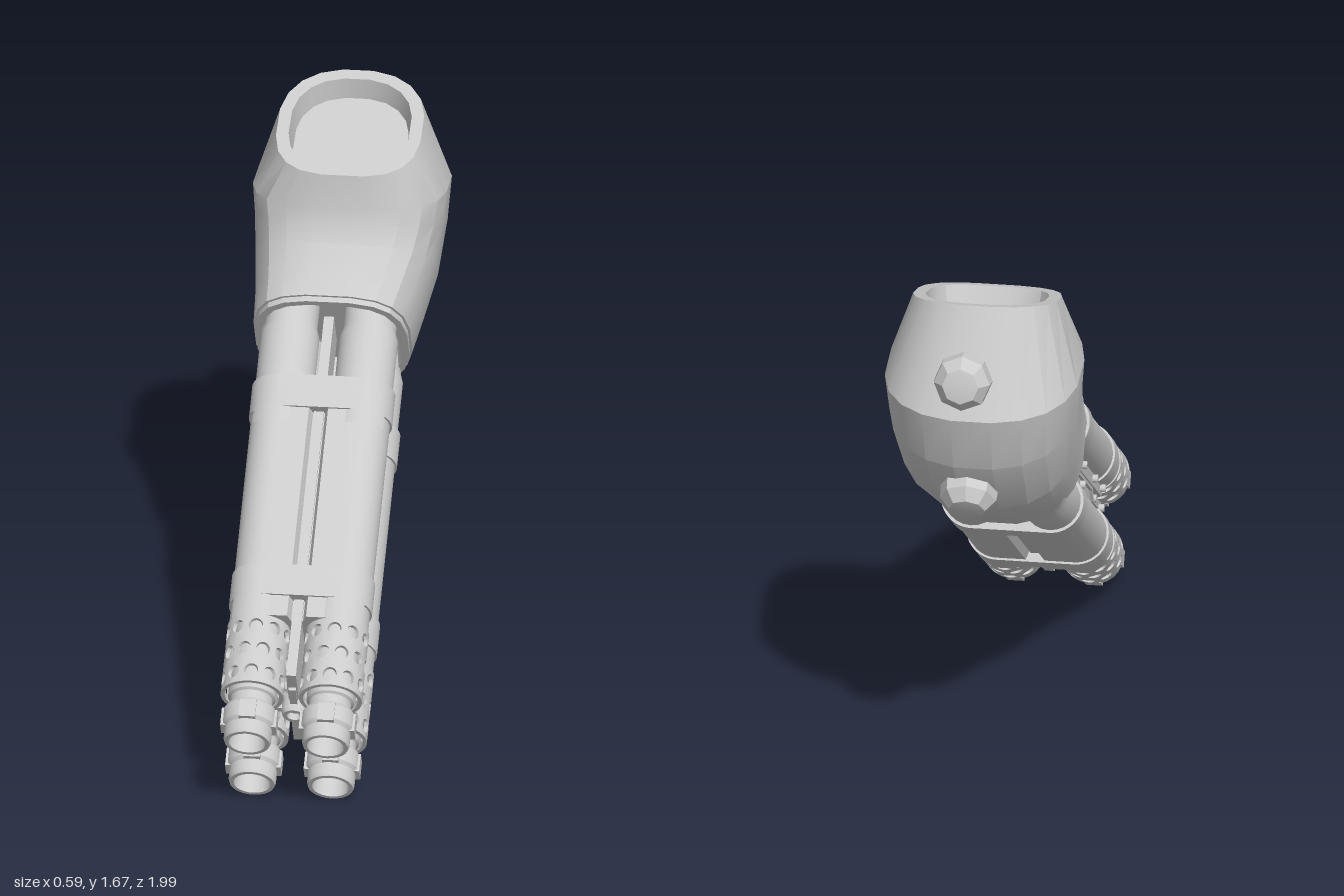
import * as THREE from 'three';
import { mergeGeometries, toCreasedNormals } from 'three/addons/utils/BufferGeometryUtils.js';

const material = new THREE.MeshStandardMaterial({ color: 0xcccccc });
const SPREAD = 0.1185; // half distance between neighbouring barrels

function add(parent, name, geometry, x = 0, y = 0, z = 0) {
  const mesh = new THREE.Mesh(geometry, material);
  mesh.name = name;
  mesh.position.set(x, y, z);
  parent.add(mesh);
  return mesh;
}

// Solid of revolution along -z; profile is [radius, distance back]
function turned(profile, segments = 24) {
  const points = profile.map(([r, s]) => new THREE.Vector2(r, -s)).reverse();
  const g = new THREE.LatheGeometry(points, segments).rotateX(Math.PI / 2);
  return toCreasedNormals(g.toNonIndexed(), 0.5);
}

// Prism along -z between two distances
function prism(shape, from, to) {
  const g = new THREE.ExtrudeGeometry(shape, { depth: to - from, bevelEnabled: false, curveSegments: 12 });
  return toCreasedNormals(g.translate(0, 0, -to), 0.5);
}

// Section that wraps two barrels, with optional grooves along the middle
function pairSection(r, groove = 0) {
  const s = new THREE.Shape();
  s.absarc(SPREAD, 0, r, -Math.PI / 2, Math.PI / 2, false);
  if (groove) {
    s.lineTo(groove * 1.6, r);
    s.lineTo(groove, r - 0.03);
    s.lineTo(-groove, r - 0.03);
    s.lineTo(-groove * 1.6, r);
  }
  s.absarc(-SPREAD, 0, r, Math.PI / 2, Math.PI * 1.5, false);
  if (groove) {
    s.lineTo(-groove * 1.6, -r);
    s.lineTo(-groove, 0.03 - r);
    s.lineTo(groove, 0.03 - r);
    s.lineTo(groove * 1.6, -r);
  }
  return s;
}

// Perforated sleeve: flat cells with a round hole, bent around the barrel
function ventSleeve() {
  const R = 0.095, around = 10, rows = 3, start = 0.162, h = 0.0785;
  const w = (2 * Math.PI * R) / around;
  const cell = new THREE.Shape();
  cell.moveTo(-w / 2, 0);
  [[-w / 4, 0], [0, 0], [w / 4, 0], [w / 2, 0], [w / 2, h / 2], [w / 2, h],
    [w / 4, h], [0, h], [-w / 4, h], [-w / 2, h], [-w / 2, h / 2]].forEach(([x, y]) => cell.lineTo(x, y));
  const hole = new THREE.Path();
  hole.absarc(0, h / 2, 0.021, 0, Math.PI * 2, true);
  cell.holes.push(hole);
  const flat = new THREE.ExtrudeGeometry(cell, { depth: 0.012, bevelEnabled: false, curveSegments: 12 });
  const cells = [];
  for (let row = 0; row < rows; row++) {
    for (let i = 0; i < around; i++) {
      const g = flat.clone(), p = g.attributes.position;
      for (let k = 0; k < p.count; k++) {
        const a = (p.getX(k) / w + i + row / 2) * (2 * Math.PI / around);
        const r = R - 0.012 + p.getZ(k);
        p.setXYZ(k, r * Math.sin(a), r * Math.cos(a), -(start + row * h + p.getY(k)));
      }
      cells.push(g);
    }
  }
  return toCreasedNormals(mergeGeometries(cells), 0.6);
}

const muzzleGeometry = turned([
  [0.05, 0.12], [0.056, 0], [0.068, 0], [0.072, 0.012], [0.072, 0.045], [0.081, 0.055],
  [0.081, 0.105], [0.073, 0.118], [0.064, 0.122], [0.064, 0.15], [0.072, 0.155], [0.072, 0.42]]);
const boreGeometry = new THREE.CircleGeometry(0.053, 24);
const sleeveGeometry = ventSleeve();

function barrel(parent, x) {
  const g = new THREE.Group();
  g.name = 'barrel';
  g.position.x = x;
  parent.add(g);
  add(g, 'muzzle', muzzleGeometry);
  add(g, 'boreEnd', boreGeometry, 0, 0, -0.11);
  add(g, 'ventSleeve', sleeveGeometry);
  add(g, 'rearTube', turned([[0, 1.1], [0.089, 1.1], [0.089, 1.41], [0.08, 1.44], [0.08, 1.52]]));
  for (let i = 0; i < 4; i++) {
    const a = (i * Math.PI) / 2;
    const lug = add(g, 'muzzleLug', new THREE.BoxGeometry(0.05, 0.016, 0.06),
      0.076 * Math.sin(a), 0.076 * Math.cos(a), -0.075);
    lug.rotation.z = -a;
  }
  // Tabs that reach forward from the clamps on the outer side
  const side = Math.sign(x);
  for (const [from, to] of [[0.395, 0.5], [1.075, 1.15]]) {
    const tab = new THREE.CylinderGeometry(0.0975, 0.0975, to - from, 14, 1, true, -0.95, 1.9);
    tab.rotateX(Math.PI / 2).rotateZ(side * Math.PI / 2 + Math.PI / 2 + (side > 0 ? -Math.PI / 2 : Math.PI / 2));
    const m = add(g, 'clampTab', tab, 0, 0, -(from + to) / 2);
    m.material = material.clone();
    m.material.side = THREE.DoubleSide;
    m.rotation.z = side > 0 ? Math.PI / 2 : Math.PI / 2;
  }
}

function barrelPair() {
  const g = new THREE.Group();
  g.name = 'barrelPair';
  barrel(g, SPREAD);
  barrel(g, -SPREAD);
  add(g, 'casing', prism(pairSection(0.091, 0.018), 0.395, 1.15));
  add(g, 'frontClamp', prism(pairSection(0.0975), 0.465, 0.57));
  add(g, 'rearClamp', prism(pairSection(0.0975), 1.12, 1.23));
  add(g, 'centreStrip', new THREE.BoxGeometry(0.03, 0.14, 1.25), 0, 0, -0.825);
  return g;
}

// Lofted elbow shell. Section: inner [z, y], outer [z, y], half width, centre x, scale
function elbowShell() {
  const wrist = [[-0.17, 1.2], [-0.43, 0.79], 0.235, -0.025];
  const lip = [[-0.185, 1.21], [-0.447, 0.8], 0.235, -0.025];
  const deep = [[-0.235, 1.235], [-0.485, 0.835], 0.22, -0.02];
  const top = [[-0.34, 1.54], [-0.78, 1.68], 0.22, 0];
  const sunk = [[-0.355, 1.475], [-0.8, 1.615], 0.22, 0];
  const sections = [
    [...deep, 0.001], [...deep, 0.86], [...wrist, 0.9], [...wrist, 0.985], [...lip, 0.985], [...lip, 1.015],
    [[-0.235, 1.265], [-0.58, 0.87], 0.252, -0.015, 1],
    [[-0.3, 1.33], [-0.73, 0.98], 0.272, -0.005, 1],
    [[-0.325, 1.385], [-0.87, 1.18], 0.286, 0, 1],
    [[-0.335, 1.43], [-0.92, 1.36], 0.295, 0, 1],
    [...top, 1], [...top, 0.83], [...sunk, 0.78], [...sunk, 0.001]];
  const N = 20, pos = [], idx = [];
  const power = (v, e) => Math.sign(v) * Math.pow(Math.abs(v), e);
  sections.forEach(([inner, outer, hx, cx, k], row) => {
    for (let j = 0; j < N; j++) {
      const a = ((j + 0.5) / N) * Math.PI * 2;
      const e = Math.cos(a) > 0 ? 0.85 : 0.66; // rounder at the back, squarer at the front
      const u = (power(Math.cos(a), e) / power(Math.cos(Math.PI / N), e)) * k * 0.5;
      pos.push(cx - hx * k * power(Math.sin(a), e),
        (inner[1] + outer[1]) / 2 + (outer[1] - inner[1]) * u,
        (inner[0] + outer[0]) / 2 + (outer[0] - inner[0]) * u);
      if (row === 0) continue;
      const b = row * N + j, b1 = row * N + ((j + 1) % N);
      idx.push(b - N, b1 - N, b1, b - N, b1, b);
    }
  });
  const g = new THREE.BufferGeometry();
  g.setAttribute('position', new THREE.Float32BufferAttribute(pos, 3));
  g.setIndex(idx);
  return toCreasedNormals(g.toNonIndexed(), 0.38);
}

export function createModel() {
  const model = new THREE.Group();
  model.name = 'armCannon';
  add(model, 'elbowShell', elbowShell());

  // Faceted knobs on the back of the elbow
  const knobProfile = [[0, 0], [0.055, 0.008], [0.085, 0.045], [0.088, 0.09], [0.07, 0.12], [0.07, 0.22]];
  for (const [y, z, dy, dz] of [[1.508, -0.993, 0.17, -0.98], [1.022, -0.847, -0.6, -0.8]]) {
    const knob = add(model, 'elbowKnob', turned(knobProfile, 8), 0.022, y, z);
    knob.rotation.x = Math.atan2(-dy, dz);
  }

  // Sloping gun: local +z points at the muzzles
  const gun = new THREE.Group();
  gun.name = 'gun';
  gun.position.set(-0.025, 0.165, 0.893);
  gun.rotation.x = 0.595;
  model.add(gun);
  for (const turn of [0, Math.PI]) {
    const pair = barrelPair();
    pair.position.y = turn ? -0.12 : 0.12;
    pair.rotation.z = turn;
    gun.add(pair);
  }

  // Core and front hub between the four barrels
  add(gun, 'core', new THREE.BoxGeometry(0.25, 0.1, 0.84), 0, 0, -0.83);
  add(gun, 'hub', turned([[0, 0.19], [0.018, 0.19], [0.022, 0.17], [0.034, 0.17], [0.04, 0.185],
    [0.04, 0.23], [0.03, 0.24], [0.03, 0.45]], 16));
  for (let i = 0; i < 4; i++) {
    const a = (i * Math.PI) / 2;
    const arm = add(gun, 'hubArm', new THREE.BoxGeometry(0.022, 0.1, 0.05),
      0.07 * Math.sin(a), 0.07 * Math.cos(a), -0.215);
    arm.rotation.z = -a;
  }

  // Side flanges, jogged seam ledges and bolts
  const ledge = new THREE.Shape([[0.58, -0.045], [0.71, -0.045], [0.76, -0.016], [1.09, -0.016],
    [1.09, -0.006], [0.755, -0.006], [0.705, -0.035], [0.58, -0.035]].map(([s, p]) => new THREE.Vector2(s, p)));
  const ledgeGeometry = new THREE.ExtrudeGeometry(ledge, { depth: 0.02, bevelEnabled: false })
    .rotateY(Math.PI / 2).translate(-0.01, 0, 0);
  for (const side of [1, -1]) {
    add(gun, 'seamLedge', ledgeGeometry, side * 0.17, 0, 0);
    for (const p of [0.03, -0.03]) {
      add(gun, 'sideFlange', new THREE.BoxGeometry(0.03, 0.04, 0.8), side * 0.155, p, -0.85);
      for (const s of [0.49, 0.69, 0.975, 1.17]) {
        const bolt = new THREE.CylinderGeometry(0.012, 0.012, 0.02, 10).rotateZ(Math.PI / 2);
        add(gun, 'bolt', bolt, side * 0.176, p, -s);
      }
    }
  }
  return model;
}
